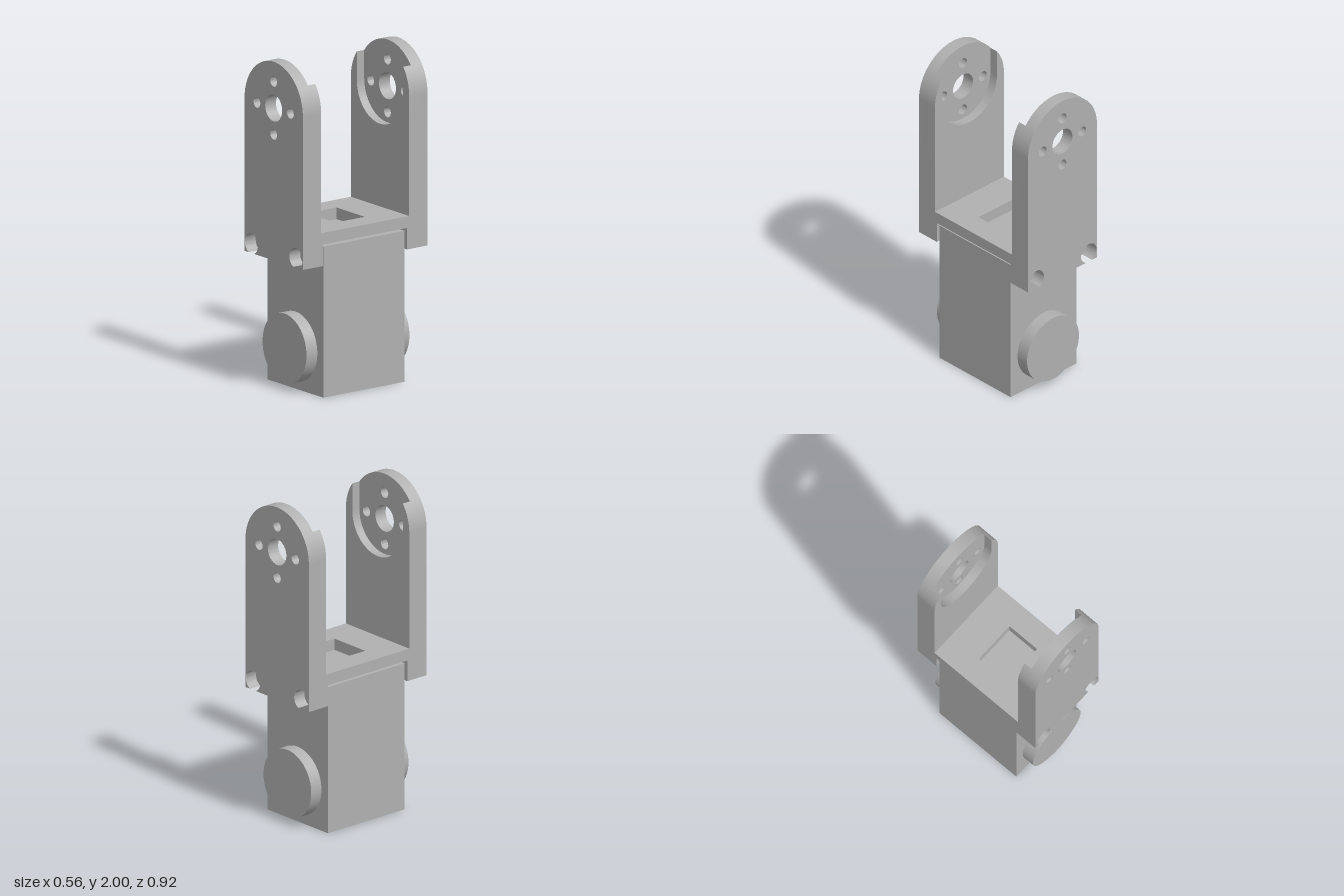
import * as THREE from 'three';
import { toCreasedNormals } from 'three/addons/utils/BufferGeometryUtils.js';

const W = 0.279;                 // half width of the bracket
const AXIS = 1.721;              // height of the horn axis
const BOTTOM = 0.80;
const SCREW_X = 0.213, SCREW_Y = 0.857;
const SLOT = 0.222;              // radius of the horn pocket

function hole(shape, x, y, r) {
  shape.holes.push(new THREE.Path().absarc(x, y, r, 0, Math.PI * 2, true));
}

function extrude(shape, z0, z1) {
  const g = new THREE.ExtrudeGeometry(shape, { depth: z1 - z0, bevelEnabled: false, curveSegments: 40 });
  g.translate(0, 0, z0);
  return toCreasedNormals(g, 0.5);
}

// Outer layer: rounded top, horn holes, counterbores that break through the lower edge
function outerPlate() {
  const s = new THREE.Shape();
  const r = 0.0625, dy = BOTTOM - SCREW_Y, dx = Math.sqrt(r * r - dy * dy);
  s.moveTo(-W, BOTTOM);
  for (const x of [-SCREW_X, SCREW_X]) {
    s.lineTo(x - dx, BOTTOM);
    s.absarc(x, SCREW_Y, r, Math.atan2(dy, -dx), Math.atan2(dy, dx), true);
  }
  s.lineTo(W, BOTTOM);
  s.lineTo(W, AXIS);
  s.absarc(0, AXIS, W, 0, Math.PI, false);
  s.closePath();
  hole(s, 0, AXIS, 0.081);
  for (const [x, y] of [[0.16, 0], [-0.16, 0], [0, 0.16], [0, -0.16]]) hole(s, x, AXIS + y, 0.032);
  return extrude(s, 0.38, 0.46);
}

// Inner layer: U-shaped pocket open at the top, plain screw holes
function innerPlate() {
  const s = new THREE.Shape();
  const a = Math.acos(SLOT / W);
  s.moveTo(-W, BOTTOM);
  s.lineTo(W, BOTTOM);
  s.lineTo(W, AXIS);
  s.absarc(0, AXIS, W, 0, a, false);
  s.lineTo(SLOT, AXIS);
  s.absarc(0, AXIS, SLOT, 0, -Math.PI, true);
  s.lineTo(-SLOT, AXIS + W * Math.sin(a));
  s.absarc(0, AXIS, W, Math.PI - a, Math.PI, false);
  s.closePath();
  for (const x of [-SCREW_X, SCREW_X]) hole(s, x, SCREW_Y, 0.032);
  return extrude(s, 0.325, 0.38);
}

function rect(target, hx, y0, y1) {
  target.moveTo(-hx, y0);
  target.lineTo(hx, y0);
  target.lineTo(hx, y1);
  target.lineTo(-hx, y1);
  target.closePath();
  return target;
}

// Thickened lip below the deck
function lipPlate() {
  const s = rect(new THREE.Shape(), W, BOTTOM, 0.93);
  for (const x of [-SCREW_X, SCREW_X]) hole(s, x, SCREW_Y, 0.032);
  return extrude(s, 0.31, 0.325);
}

// Deck joining both arms, with a rectangular window
function deck() {
  const s = rect(new THREE.Shape(), W, -0.325, 0.325);
  s.holes.push(rect(new THREE.Path(), 0.135, -0.108, 0.108));
  const g = extrude(s, 0, 0.07);
  g.rotateX(-Math.PI / 2);
  g.translate(0, 0.93, 0);
  return g;
}

export function createModel() {
  const model = new THREE.Group();
  model.name = 'servoBracket';
  const grey = new THREE.MeshStandardMaterial({ color: 0xb0b0b0 });
  grey.name = 'grey';

  const add = (parent, name, geometry) => {
    const m = new THREE.Mesh(geometry, grey);
    m.name = name;
    parent.add(m);
    return m;
  };

  // Motor block
  add(model, 'motorBody', new THREE.BoxGeometry(0.534, 0.912, 0.6).translate(0, 0.456, 0));
  add(model, 'bracketDeck', deck());

  // Front and back arms with the round hubs below them
  const parts = { armOuterPlate: outerPlate(), armInnerPlate: innerPlate(), armLip: lipPlate() };
  const hub = new THREE.CylinderGeometry(0.21, 0.21, 0.08, 64);
  hub.rotateX(Math.PI / 2).translate(0, 0.256, 0.34);
  for (const [name, turn] of [['front', 0], ['back', Math.PI]]) {
    const side = new THREE.Group();
    side.name = name + 'Side';
    side.rotation.y = turn;
    for (const key in parts) add(side, key, parts[key]);
    add(side, 'hub', hub);
    model.add(side);
  }
  return model;
}
